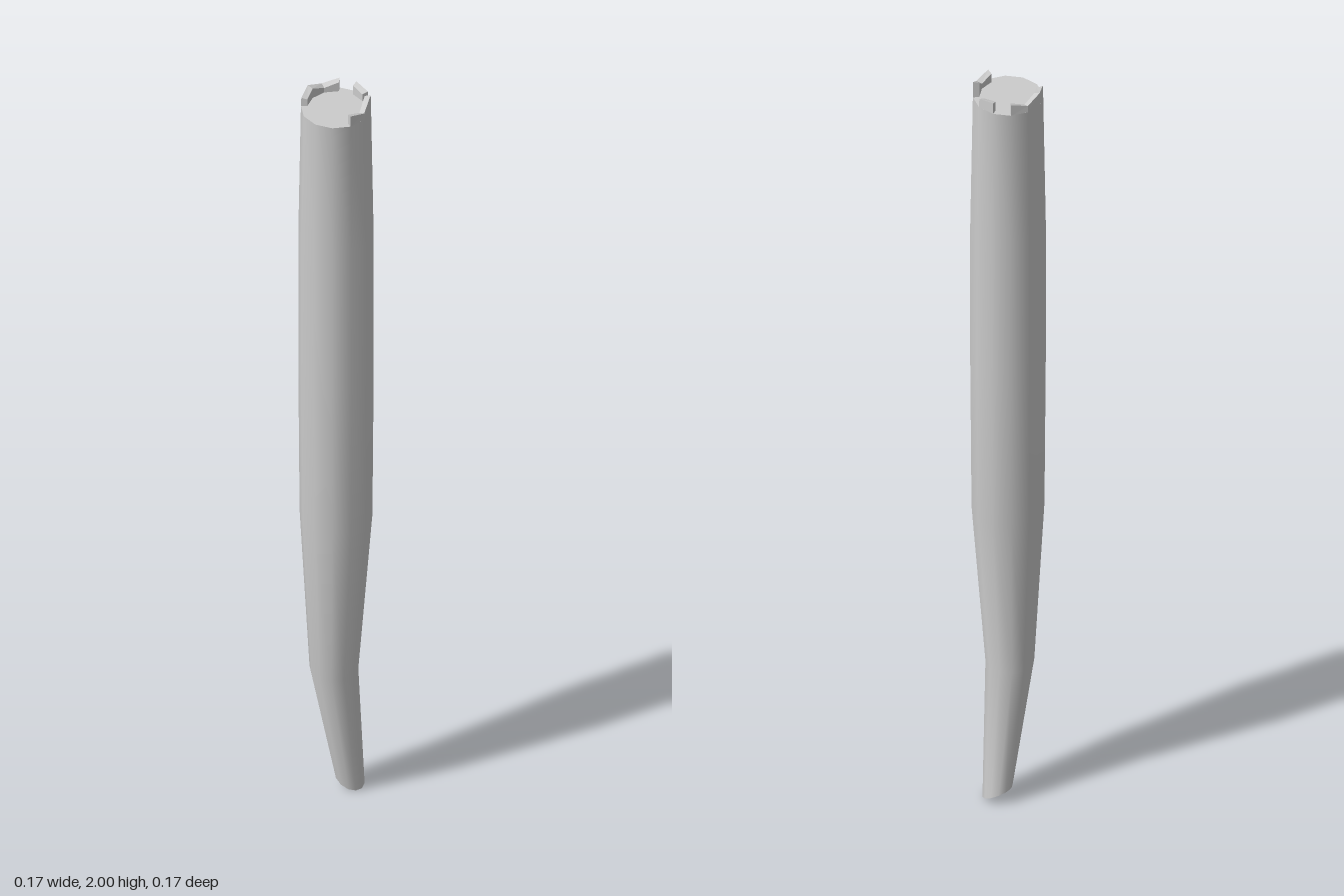
import * as THREE from 'three';

const SIDES = 12;
const angle = (k) => THREE.MathUtils.degToRad(9.7 + k * 360 / SIDES);

// Skins a series of closed cross-sections and caps both ends.
function loft(loops, flat) {
  const n = loops[0].length, last = loops.length - 1;
  const pos = loops.flat(2), index = [];
  for (let i = 0; i < last; i++) {
    for (let j = 0; j < n; j++) {
      const u0 = i * n + j, u1 = i * n + (j + 1) % n;
      const l0 = u0 + n, l1 = u1 + n;
      index.push(l0, u0, u1, l0, u1, l1);
    }
  }
  for (const end of [0, last]) {
    const base = pos.length / 3; // own vertices keep the rim sharp
    pos.push(...loops[end].flat());
    for (let j = 1; j < n - 1; j++) {
      if (end === 0) index.push(base, base + j + 1, base + j);
      else index.push(base, base + j, base + j + 1);
    }
  }
  let geo = new THREE.BufferGeometry();
  geo.setAttribute('position', new THREE.Float32BufferAttribute(pos, 3));
  geo.setIndex(index);
  if (flat) geo = geo.toNonIndexed();
  geo.computeVertexNormals();
  return geo;
}

export function createModel() {
  const group = new THREE.Group();
  const material = new THREE.MeshStandardMaterial({ color: 0xcccccc });
  const add = (name, geo) => {
    const mesh = new THREE.Mesh(geo, material);
    mesh.name = name;
    group.add(mesh);
  };

  // Tapered, bent shaft: centre x, y, centre z, radius, slope of the section
  const rings = [
    [0, 1.957, 0, 0.082, 0],
    [0, 1.6, 0, 0.088, 0],
    [0, 1.2, 0, 0.088, 0],
    [0, 0.8, 0, 0.085, 0],
    [-0.005, 0.36, 0.002, 0.057, 0],
    [0.034, 0.018, -0.034, 0.035, 0.36],
  ];
  add('shaft', loft(rings.map(([x, y, z, r, slope]) =>
    Array.from({ length: SIDES }, (_, k) => {
      const dx = r * Math.cos(angle(k)), dz = r * Math.sin(angle(k));
      return [x + dx, y - slope * (dx + dz), z + dz];
    })), false));

  // Jagged remains of the rim: first side, then top height at each corner
  const shards = [
    ['rimShardFront', 0, [2.0, 1.975, 1.985]],
    ['rimShardBack', 6, [1.98, 1.988, 1.974, 1.986]],
    ['rimShardSide', 10, [1.986, 1.98]],
  ];
  for (const [name, first, heights] of shards) {
    add(name, loft(heights.map((top, i) => {
      const c = Math.cos(angle(first + i)), s = Math.sin(angle(first + i));
      return [[0.082, 1.956], [0.081, top], [0.067, top - 0.004], [0.067, 1.956]]
        .map(([r, y]) => [r * c, y, r * s]);
    }), true));
  }
  return group;
}
